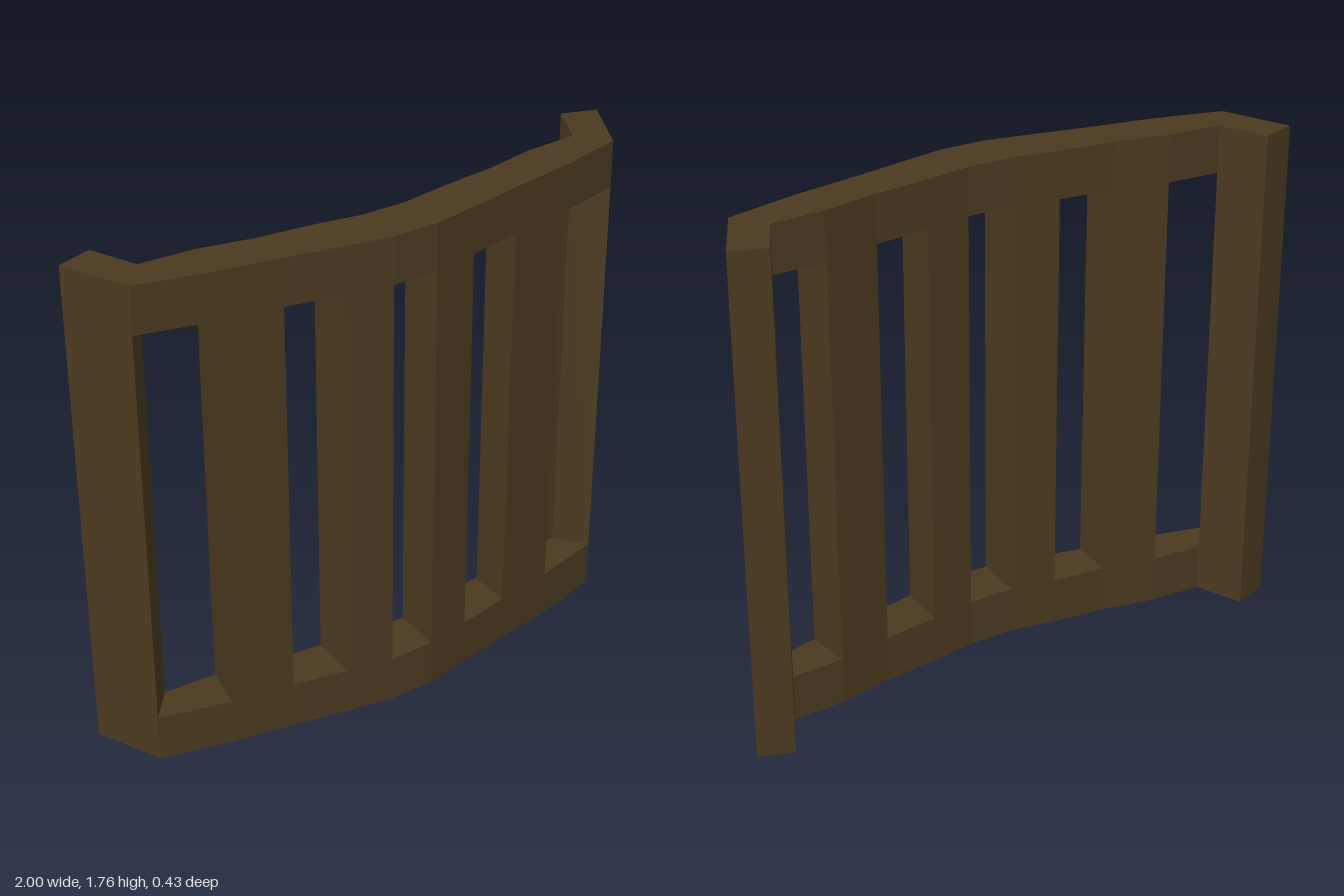
import * as THREE from 'three';

// Plan of the right-hand half, from the centre outwards: [x, z] pairs
const FRONT = [[0.08, 0.215], [0.24, 0.185], [0.43, 0.147], [0.645, 0.11], [0.89, 0.05], [1, -0.175]];
const BACK = [[0.08, 0.042], [0.24, 0.015], [0.43, -0.006], [0.62, -0.045], [0.805, -0.055], [0.88, -0.215]];
const RAIL = 0.17, UPPER = 1.6, TOP = 1.765;

const wood = new THREE.MeshStandardMaterial({ color: 0x4b3a20, flatShading: true });
const underside = new THREE.MeshStandardMaterial({ color: 0xcccccc, flatShading: true });

const mirrored = (points) => points.map(([x, z]) => [-x, z]);

// Upright prism over a plan outline; open prisms have no end caps
function prism(name, outline, y0, y1, open = false) {
  const shape = new THREE.Shape(outline.map(([x, z]) => new THREE.Vector2(x, -z)));
  const geometry = new THREE.ExtrudeGeometry(shape, { depth: y1 - y0, bevelEnabled: false });
  geometry.rotateX(-Math.PI / 2).translate(0, y0, 0);
  const caps = geometry.groups[0].count;
  const sides = geometry.groups[1].count;
  geometry.clearGroups();
  if (!open) {
    geometry.addGroup(0, caps / 2, 1);
    geometry.addGroup(caps / 2, caps / 2, 0);
  }
  geometry.addGroup(caps, sides, 0);
  const mesh = new THREE.Mesh(geometry, [wood, underside]);
  mesh.name = name;
  return mesh;
}

export function createModel() {
  const model = new THREE.Group();
  model.name = 'bowedSlatPanel';

  // Bowed top and bottom rails with the turned-back ends
  const outline = [
    ...mirrored(FRONT).reverse(), ...FRONT,
    ...[...BACK].reverse(), ...mirrored(BACK),
  ];
  model.add(prism('bottomRail', outline, 0, RAIL));
  model.add(prism('topRail', outline, UPPER, TOP));

  // Slats and end posts between the rails, mirrored left and right
  const uprights = [['innerSlat', 0], ['outerSlat', 2], ['endPost', 4]];
  for (const [name, i] of uprights) {
    const plan = [FRONT[i], FRONT[i + 1], BACK[i + 1], BACK[i]];
    model.add(prism(name + 'Left', plan, RAIL, UPPER, true));
    model.add(prism(name + 'Right', mirrored(plan), RAIL, UPPER, true));
  }
  return model;
}
